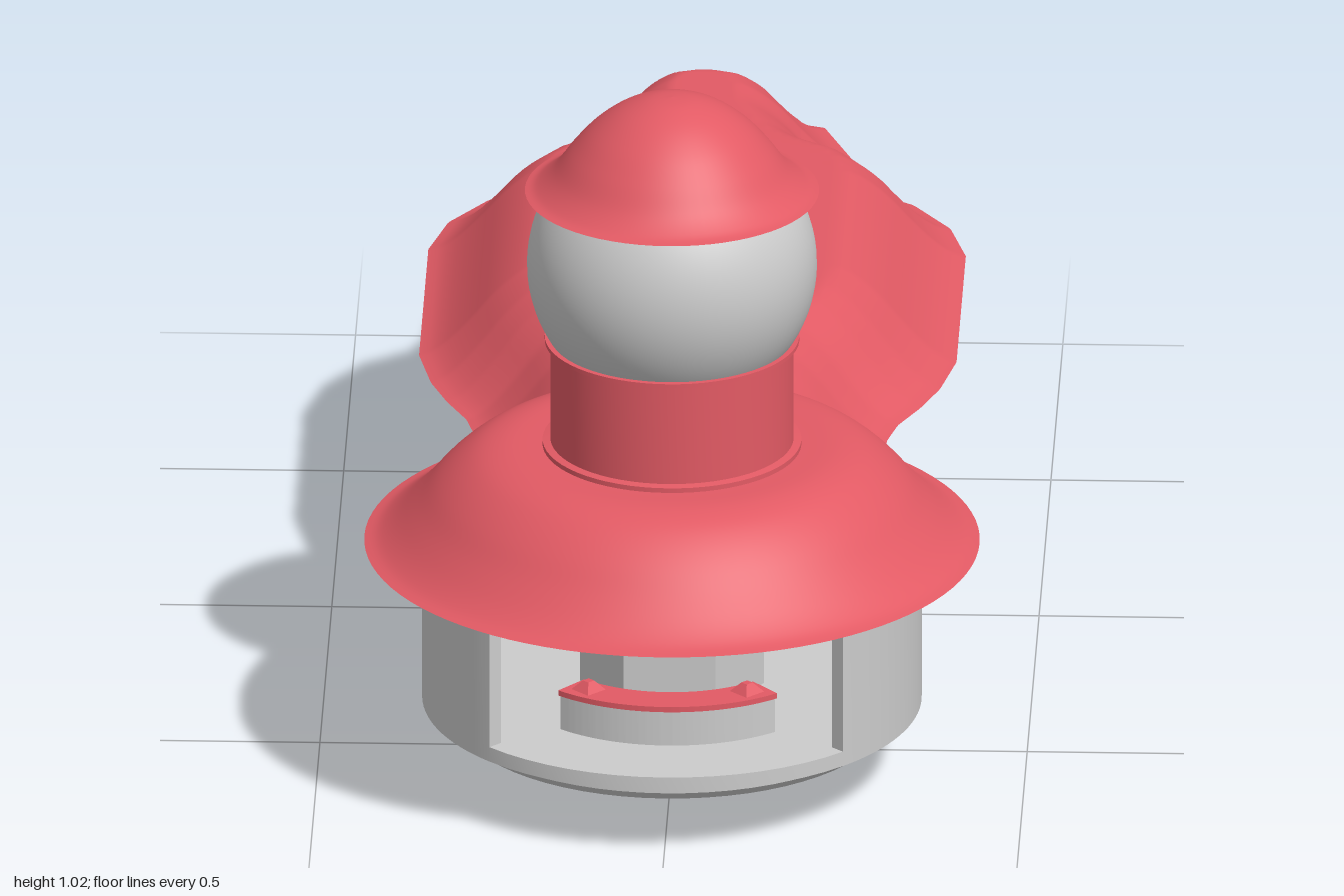
import * as THREE from 'three';
import { toCreasedNormals } from 'three/addons/utils/BufferGeometryUtils.js';

const CZ = 0.565; // tower axis
const grey = new THREE.MeshStandardMaterial({ color: 0xcccccc });
const red = new THREE.MeshStandardMaterial({ color: 0xe25a64 });
const redShell = red.clone();
redShell.side = THREE.DoubleSide;

const vec = (pts) => pts.map(([x, y]) => new THREE.Vector2(x, y));

function part(parent, name, geometry, material, z = 0) {
  const mesh = new THREE.Mesh(geometry, material);
  mesh.name = name;
  mesh.position.z = z;
  parent.add(mesh);
  return mesh;
}

// Solid of revolution with crisp edges, profile listed from bottom to top
const turned = (pts, segments = 64) =>
  toCreasedNormals(new THREE.LatheGeometry(vec(pts), segments), 0.5);

// Flat ring sector between two heights, centred on the front (+z)
function sector(rIn, rOut, from, to, y0, y1) {
  const shape = new THREE.Shape();
  shape.absarc(0, 0, rOut, from, to, false);
  shape.absarc(0, 0, rIn, to, from, true);
  const g = new THREE.ExtrudeGeometry(shape, { depth: y1 - y0, bevelEnabled: false, curveSegments: 48 });
  g.rotateX(-Math.PI / 2).translate(0, y0, 0);
  return toCreasedNormals(g, 0.5);
}

// Roof slope: distance in from the eave, height
const slope = new THREE.SplineCurve(vec([
  [0, 0.345], [0.02, 0.352], [0.045, 0.371], [0.075, 0.402], [0.105, 0.437],
  [0.135, 0.464], [0.165, 0.482], [0.2, 0.491], [0.24, 0.492],
])).getPoints(32);

function slopeHeight(d) {
  for (let i = 1; i < slope.length; i++) {
    const a = slope[i - 1], b = slope[i];
    if (d <= b.x) return a.y + (b.y - a.y) * (d - a.x) / (b.x - a.x);
  }
  return 0.492;
}

// Half outline of the rear roof: half-width, z
const eave = vec([
  [0.04, -1], [0.165, -0.955], [0.215, -0.82], [0.217, -0.77], [0.237, -0.72], [0.3, -0.675],
  [0.355, -0.59], [0.38, -0.49], [0.38, -0.1], [0.36, 0], [0.335, 0.07], [0.305, 0.135],
  [0.292, 0.19], [0.288, 0.235], [0.28, 0.3], [0.28, 0.5],
]);

function eaveWidth(z) {
  for (let i = 1; i < eave.length; i++) {
    const a = eave[i - 1], b = eave[i];
    if (z <= b.y) return a.x + (b.x - a.x) * (z - a.y) / (b.y - a.y);
  }
  return eave[eave.length - 1].x;
}

function eaveDistance(x, z) {
  const p = new THREE.Vector3(Math.abs(x), z, 0), q = new THREE.Vector3();
  const line = new THREE.Line3();
  let best = 1;
  for (let i = 0; i < eave.length; i++) {
    const a = i ? eave[i - 1] : new THREE.Vector2(0, -1), b = eave[i];
    line.start.set(a.x, a.y, 0);
    line.end.set(b.x, b.y, 0);
    line.closestPointToPoint(p, true, q);
    best = Math.min(best, q.distanceTo(p));
  }
  return best;
}

// Rear roof: a sheet fitted to the outline, raised by distance from the eave
function rearRoof() {
  const g = new THREE.PlaneGeometry(2, 1, 56, 200);
  const pos = g.attributes.position;
  for (let i = 0; i < pos.count; i++) {
    const z = -1 + (0.5 - pos.getY(i)) * 1.5;
    const x = pos.getX(i) * eaveWidth(z);
    const y = Math.min(slopeHeight(eaveDistance(x, z)), 0.484);
    pos.setXYZ(i, x, y, z);
  }
  g.computeVertexNormals();
  return g;
}

// Rear body: extruded plan, wide middle tapering toward the bottom
function rearBody() {
  const half = [[0.17, 0.3], [0.17, 0.15], [0.295, 0.12], [0.3, -0.555], [0.147, -0.695], [0.14, -0.915]];
  const plan = [...half, ...half.slice().reverse().map(([x, z]) => [-x, z])];
  const shape = new THREE.Shape(vec(plan.map(([x, z]) => [x, -z])));
  const g = new THREE.ExtrudeGeometry(shape, { depth: 0.235, bevelEnabled: false });
  g.rotateX(-Math.PI / 2).translate(0, 0.11, 0);
  const pos = g.attributes.position;
  for (let i = 0; i < pos.count; i++) {
    const x = pos.getX(i);
    if (pos.getY(i) < 0.2 && Math.abs(x) > 0.25) pos.setX(i, x - Math.sign(x) * 0.06);
  }
  g.computeVertexNormals();
  return g;
}

export function createModel() {
  const model = new THREE.Group();
  model.name = 'roofedHouse';

  // Rear wing
  part(model, 'rearBody', rearBody(), grey);
  part(model, 'rearRoof', rearRoof(), redShell);

  // Round front room with a wide opening
  const room = new THREE.Group();
  room.name = 'frontRoom';
  room.position.z = CZ;
  model.add(room);
  const disc = (r, y0, y1) => turned([[0, y0], [r, y0], [r, y1], [0, y1]]);
  const front = -Math.PI / 2, open = 0.787;
  part(room, 'roomWall', sector(0.33, 0.353, front + open, front + 2 * Math.PI - open, 0.105, 0.345), grey);
  part(room, 'roomFloor', disc(0.3529, 0.105, 0.127), grey);
  part(room, 'roomCeiling', disc(0.3529, 0.335, 0.345), grey);
  part(room, 'roofPlate', disc(0.38, 0.339, 0.345), red);
  const column = new THREE.CylinderGeometry(0.13, 0.13, 0.208, 6).rotateY(Math.PI / 6);
  part(room, 'innerColumn', toCreasedNormals(column, 0.5), grey).position.y = 0.231;

  // Curved counter behind the opening
  part(room, 'counter', sector(0.19, 0.235, front - 0.7, front + 0.7, 0.127, 0.18), grey);
  part(room, 'counterTop', sector(0.185, 0.24, front - 0.7, front + 0.7, 0.18, 0.188), red);
  for (const s of [-1, 1]) {
    const g = toCreasedNormals(new THREE.CylinderGeometry(0.008, 0.026, 0.015, 4), 0.5);
    part(room, 'counterBlock', g, red).position.set(s * 0.112, 0.194, 0.178);
  }

  // Turntable under the room
  part(room, 'baseDisc', turned([[0, 0.1], [0.21, 0.1], [0.21, 0.075], [0.305, 0.075],
    [0.322, 0.09], [0.322, 0.105], [0, 0.105]]), grey);
  part(room, 'basePin', turned([[0, 0], [0.055, 0], [0.068, 0.013], [0.068, 0.1]], 40), grey);

  // Round roof
  const dome = slope.map((p) => new THREE.Vector2(0.435 - p.x, p.y));
  dome.push(new THREE.Vector2(0, 0.492));
  part(room, 'roundRoof', new THREE.LatheGeometry(dome, 96), redShell);

  // Lantern tower
  part(room, 'towerNeck', turned([[0.183, 0.49], [0.183, 0.499], [0.172, 0.501], [0.172, 0.649],
    [0.18, 0.651], [0.18, 0.657], [0, 0.657]]), red);
  part(room, 'lanternGlobe', new THREE.SphereGeometry(0.205, 64, 40), grey).position.y = 0.768;
  const bell = new THREE.SplineCurve(vec([[0.208, 0.88], [0.192, 0.886], [0.168, 0.907], [0.142, 0.942],
    [0.112, 0.975], [0.075, 1.002], [0.035, 1.018], [0, 1.022]])).getPoints(36);
  part(room, 'towerCap', new THREE.LatheGeometry(bell, 64), redShell);

  return model;
}
